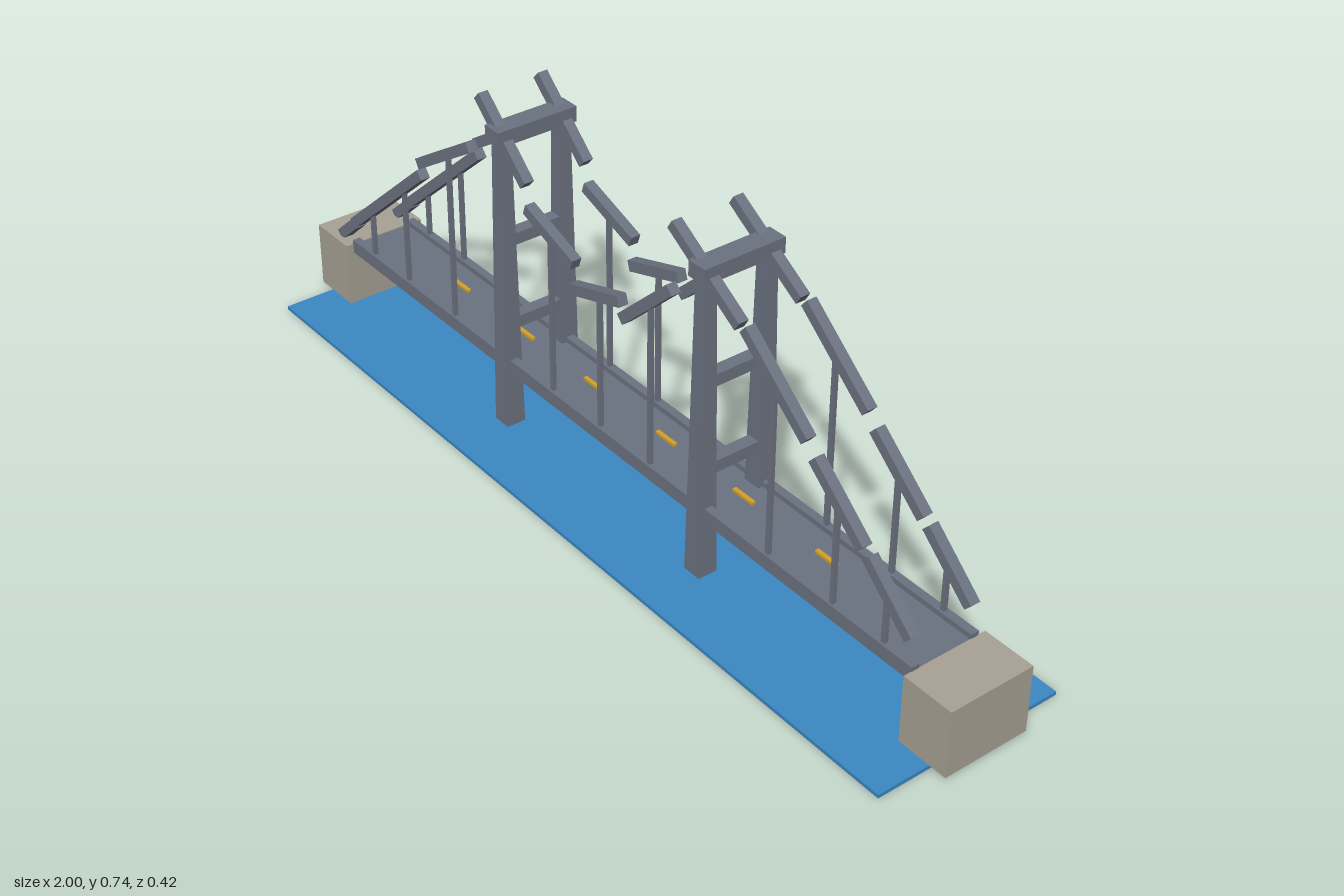
import * as THREE from 'three';

export function createModel() {
  const mat = (name, color) => {
    const m = new THREE.MeshStandardMaterial({ color });
    m.name = name;
    return m;
  };
  const steel = mat('steel grey', 0x6b7280);
  const stone = mat('stone', 0xa8a195);
  const water = mat('water blue', 0x3b88c3);
  const yellow = mat('lane yellow', 0xd4a02a);

  const model = new THREE.Group();
  model.name = 'suspensionBridge';

  const add = (name, geometry, material, x, y, z, roll = 0) => {
    const mesh = new THREE.Mesh(geometry, material);
    mesh.name = name;
    mesh.position.set(x, y, z);
    mesh.rotation.z = roll;
    model.add(mesh);
    return mesh;
  };
  const box = (name, material, w, h, d, x, y, z, roll) =>
    add(name, new THREE.BoxGeometry(w, h, d), material, x, y, z, roll);

  // square post that narrows towards the top
  const taperedPost = (base, top, height) => {
    const g = new THREE.BoxGeometry(1, height, 1);
    const p = g.attributes.position;
    for (let i = 0; i < p.count; i++) {
      const s = p.getY(i) > 0 ? top : base;
      p.setX(i, p.getX(i) * s);
      p.setZ(i, p.getZ(i) * s);
    }
    const flat = g.toNonIndexed();
    flat.computeVertexNormals();
    return flat;
  };

  // water sheet
  box('water', water, 1.92, 0.008, 0.424, 0, 0.004, 0);

  // road deck, floating lane dashes
  box('deck', steel, 1.77, 0.018, 0.13, 0, 0.145, 0);
  for (let i = 0; i < 6; i++) {
    box('laneDash', yellow, 0.056, 0.006, 0.009, (i - 2.5) * 0.232, 0.17, 0);
  }

  // end blocks and towers
  for (const side of [-1, 1]) {
    box('abutment', stone, 0.116, 0.147, 0.192, side * 0.942, 0.0825, 0);

    const x = side * 0.31;
    for (const z of [-0.07, 0.07]) {
      add('towerLeg', taperedPost(0.043, 0.027, 0.655), steel, x, 0.3355, z);
    }
    box('towerCap', steel, 0.045, 0.033, 0.184, x, 0.672, 0);
    for (const y of [0.245, 0.438]) {
      box('towerCrossbeam', steel, 0.028, 0.026, 0.12, x, y, 0);
    }
  }

  // cable pieces: x and y of both ends
  const cables = [
    [-0.935, 0.157, -0.868, 0.217],
    [-0.877, 0.212, -0.597, 0.456],
    [-0.602, 0.48, -0.413, 0.6],
    [-0.375, 0.73, -0.228, 0.597],
    [-0.225, 0.548, -0.075, 0.495],
    [-0.08, 0.44, 0.07, 0.487],
    [0.075, 0.452, 0.22, 0.587],
    [0.22, 0.724, 0.408, 0.606],
    [0.423, 0.609, 0.592, 0.468],
    [0.613, 0.443, 0.744, 0.33],
    [0.758, 0.321, 0.872, 0.217],
  ];
  // hangers: x and top height
  const hangers = [
    [-0.807, 0.27], [-0.674, 0.385], [-0.5, 0.54],
    [-0.155, 0.518], [0, 0.455], [0.155, 0.525],
    [0.5, 0.54], [0.674, 0.385], [0.807, 0.27],
  ];
  for (const z of [-0.07, 0.07]) {
    box('edgeGirder', steel, 1.77, 0.031, 0.018, 0, 0.15, z);
    for (const [x1, y1, x2, y2] of cables) {
      const dx = x2 - x1, dy = y2 - y1;
      box('cable', steel, Math.hypot(dx, dy), 0.023, 0.022,
        (x1 + x2) / 2, (y1 + y2) / 2, z, Math.atan2(dy, dx));
    }
    for (const [x, top] of hangers) {
      box('hanger', steel, 0.009, top - 0.16, 0.009, x, (top + 0.16) / 2, z);
    }
  }
  return model;
}
